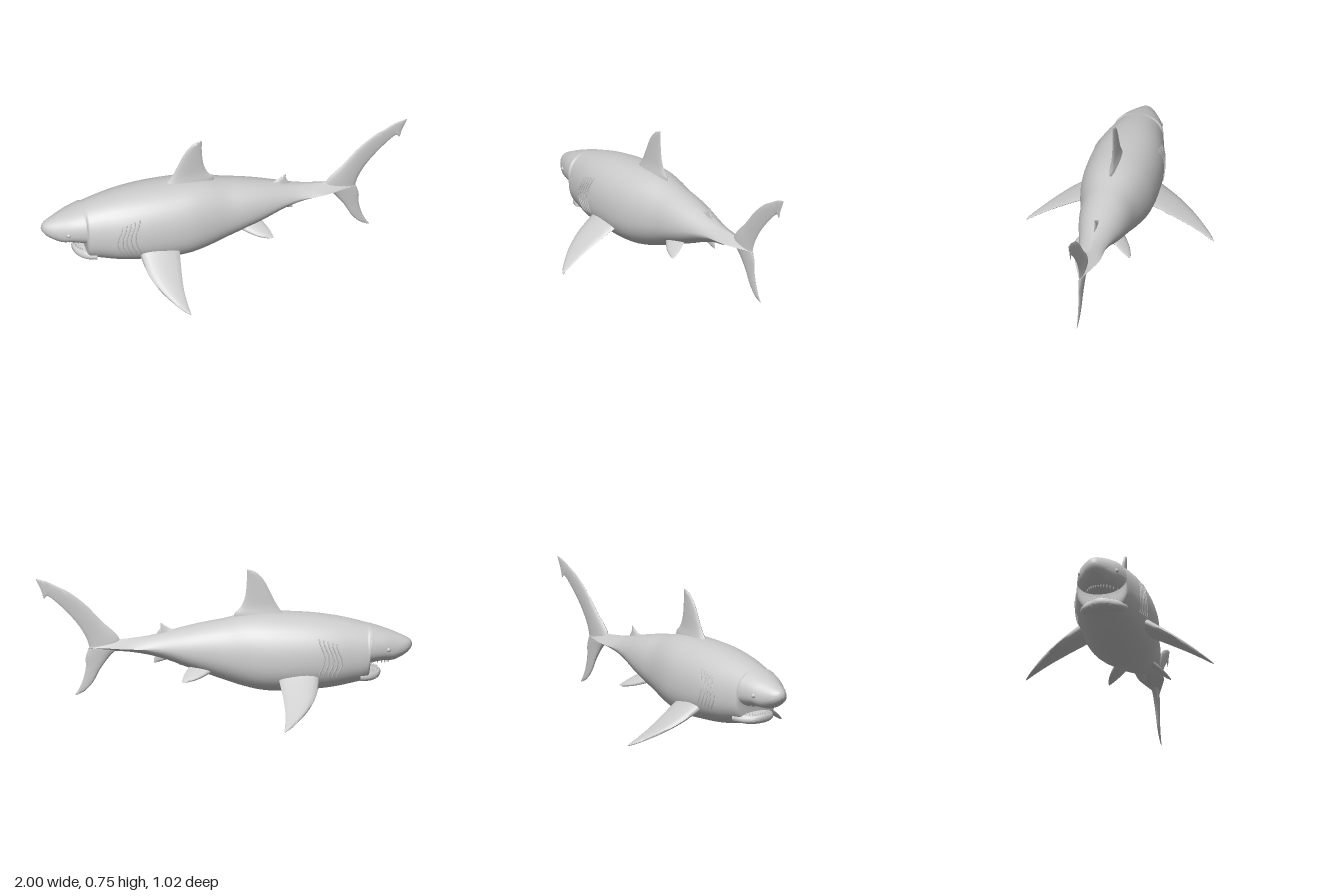
import * as THREE from 'three';
import { toCreasedNormals } from 'three/addons/utils/BufferGeometryUtils.js';

const grey = new THREE.MeshStandardMaterial({ color: 0xcccccc, side: THREE.DoubleSide });

function mesh(name, geometry) {
  const m = new THREE.Mesh(geometry, grey);
  m.name = name;
  return m;
}

// Skin a list of closed rings, all with the same number of points
function loft(rings, crease = 0.8) {
  const n = rings[0].length, index = [];
  for (let i = 0; i < rings.length - 1; i++) {
    for (let j = 0; j < n; j++) {
      const a = i * n + j, b = i * n + (j + 1) % n;
      index.push(a, b, a + n, b, b + n, a + n);
    }
  }
  const g = new THREE.BufferGeometry().setFromPoints(rings.flat());
  g.setIndex(index);
  return toCreasedNormals(g, crease);
}

// Smooth interpolation between rows of numbers
function blend(rows, i, t) {
  const at = k => rows[Math.min(Math.max(k, 0), rows.length - 1)];
  return rows[i].map((b, c) => {
    const a = at(i - 1)[c], d = at(i + 1)[c], e = at(i + 2)[c];
    return b + 0.5 * t * (d - a + t * (2 * a - 5 * b + 4 * d - e + t * (3 * (b - d) + e - a)));
  });
}

function refine(rows, steps) {
  const out = [];
  for (let i = 0; i < rows.length - 1; i++)
    for (let s = 0; s < steps; s++) out.push(blend(rows, i, s / steps));
  return [...out, rows[rows.length - 1]];
}

// Point on a cross-section [x, top, bottom, half width, roundness], angle 0 is the top
function sectionPoint([x, top, bottom, width, power], angle) {
  const c = Math.cos(angle), s = Math.sin(angle), p = 2 / power;
  const mid = bottom + (top - bottom) * 0.43;
  const h = c > 0 ? top - mid : mid - bottom;
  return new THREE.Vector3(x, mid + Math.sign(c) * h * Math.abs(c) ** p,
    Math.sign(s) * Math.max(width, 0) * Math.abs(s) ** p);
}

function hull(rows, steps, sides = 40) {
  return loft(refine(rows, steps).map(r =>
    Array.from({ length: sides }, (_, j) => sectionPoint(r, j / sides * Math.PI * 2))));
}

// Fin from rows [lead x, lead y, trail x, trail y, half thickness]
function fin(rows) {
  const n = 16;
  return loft(refine(rows, 4).map(([lx, ly, tx, ty, h]) =>
    Array.from({ length: n }, (_, j) => {
      const a = j / n * Math.PI * 2, u = (1 - Math.cos(a)) / 2;
      return new THREE.Vector3(lx + (tx - lx) * u, ly + (ty - ly) * u,
        h * Math.sin(a) * (1.25 - 0.6 * u));
    })), 1.2);
}

const bodyRows = [
  [-1.0, 0.335, 0.33, 0, 2], [-0.99, 0.357, 0.308, 0.025, 2], [-0.96, 0.376, 0.28, 0.054, 2],
  [-0.9, 0.402, 0.252, 0.088, 2.1], [-0.85, 0.42, 0.253, 0.11, 2.2], [-0.785, 0.441, 0.243, 0.131, 2.2],
  [-0.775, 0.444, 0.235, 0.134, 2.2], [-0.765, 0.447, 0.16, 0.137, 2.2], [-0.74, 0.454, 0.145, 0.145, 2.2],
  [-0.68, 0.47, 0.132, 0.16, 2.2], [-0.6, 0.487, 0.116, 0.18, 2.2], [-0.5, 0.502, 0.104, 0.195, 2.2],
  [-0.4, 0.511, 0.098, 0.201, 2.2], [-0.3, 0.515, 0.094, 0.201, 2.2], [-0.2, 0.515, 0.1, 0.193, 2.2],
  [-0.1, 0.505, 0.122, 0.173, 2.15], [0, 0.483, 0.155, 0.15, 2.1], [0.1, 0.465, 0.192, 0.136, 2.1],
  [0.2, 0.444, 0.227, 0.118, 2], [0.3, 0.42, 0.265, 0.093, 1.8], [0.4, 0.397, 0.292, 0.073, 1.5],
  [0.5, 0.384, 0.308, 0.07, 1.1], [0.56, 0.378, 0.313, 0.06, 0.95], [0.63, 0.365, 0.318, 0.035, 1],
  [0.72, 0.335, 0.329, 0.002, 1.2],
];

function bodyPoint(x, angle) {
  const i = bodyRows.findIndex((r, k) => x < bodyRows[k + 1][0]);
  const t = (x - bodyRows[i][0]) / (bodyRows[i + 1][0] - bodyRows[i][0]);
  return sectionPoint(blend(bodyRows, i, t), angle);
}

export function createModel() {
  const shark = new THREE.Group();
  shark.name = 'shark';
  shark.add(mesh('body', hull(bodyRows, 3)));

  // Lower jaw, tucked under the open mouth
  shark.add(mesh('lowerJaw', hull([
    [-0.832, 0.188, 0.182, 0, 2], [-0.825, 0.2, 0.165, 0.035, 2.2], [-0.805, 0.203, 0.153, 0.072, 2.3],
    [-0.77, 0.215, 0.147, 0.108, 2.3], [-0.72, 0.22, 0.15, 0.13, 2.3],
  ], 3, 28)));

  // Rows of small teeth around both jaws
  const teeth = new THREE.Group();
  teeth.name = 'teeth';
  const toothShape = new THREE.ConeGeometry(0.007, 0.022, 6);
  for (let k = -6; k <= 6; k++) {
    const t = k / 6;
    const upper = mesh('upperTooth', toothShape);
    upper.position.set(-0.875 + 0.09 * t * t, 0.247 + 0.014 * t * t, 0.085 * t);
    upper.rotation.x = Math.PI;
    const lower = mesh('lowerTooth', toothShape);
    lower.position.set(-0.815 + 0.04 * t * t, 0.205, 0.075 * t);
    teeth.add(upper, lower);
  }
  shark.add(teeth);

  // Upright fins along the middle line
  shark.add(mesh('dorsalFin', fin([
    [-0.34, 0.49, -0.06, 0.48, 0.03], [-0.31, 0.518, -0.055, 0.513, 0.022], [-0.28, 0.56, -0.09, 0.55, 0.015],
    [-0.25, 0.62, -0.113, 0.61, 0.012], [-0.215, 0.69, -0.121, 0.69, 0.009],
    [-0.17, 0.74, -0.121, 0.74, 0.006], [-0.13, 0.755, -0.122, 0.755, 0.002],
  ])));
  shark.add(mesh('secondDorsalFin', fin([
    [0.24, 0.42, 0.35, 0.395, 0.012], [0.285, 0.435, 0.355, 0.412, 0.007],
    [0.315, 0.452, 0.338, 0.44, 0.004], [0.332, 0.465, 0.338, 0.463, 0.001],
  ])));
  shark.add(mesh('analFin', fin([
    [0.26, 0.28, 0.36, 0.3, 0.012], [0.3, 0.265, 0.37, 0.275, 0.007],
    [0.34, 0.253, 0.372, 0.26, 0.004], [0.368, 0.246, 0.374, 0.249, 0.001],
  ])));
  shark.add(mesh('tailFin', fin([
    [0.995, 0.718, 1.0, 0.716, 0.001], [0.95, 0.706, 0.972, 0.655, 0.004], [0.925, 0.695, 0.957, 0.608, 0.004],
    [0.89, 0.677, 0.935, 0.622, 0.005], [0.82, 0.64, 0.865, 0.563, 0.007], [0.735, 0.572, 0.785, 0.475, 0.009],
    [0.65, 0.48, 0.735, 0.395, 0.012], [0.57, 0.405, 0.717, 0.34, 0.017], [0.55, 0.345, 0.722, 0.325, 0.018],
    [0.6, 0.295, 0.735, 0.28, 0.014], [0.655, 0.22, 0.735, 0.22, 0.01], [0.695, 0.145, 0.752, 0.15, 0.007],
    [0.74, 0.095, 0.775, 0.1, 0.004], [0.785, 0.071, 0.793, 0.073, 0.001],
  ])));

  // Paired fins, spread outwards and down
  const pectoral = fin([
    [-0.5, -0.03, -0.28, -0.03, 0.034], [-0.495, 0.04, -0.288, 0.04, 0.026], [-0.475, 0.14, -0.3, 0.14, 0.019],
    [-0.43, 0.24, -0.308, 0.24, 0.013], [-0.37, 0.325, -0.305, 0.325, 0.008],
    [-0.33, 0.37, -0.3, 0.37, 0.005], [-0.3, 0.393, -0.298, 0.393, 0.001],
  ]);
  const pelvic = fin([
    [0.03, 0, 0.19, 0, 0.018], [0.085, 0.05, 0.215, 0.05, 0.013],
    [0.145, 0.09, 0.228, 0.09, 0.008], [0.205, 0.112, 0.231, 0.112, 0.003],
  ]);
  for (const side of [1, -1]) {
    const front = mesh('pectoralFin', pectoral), rear = mesh('pelvicFin', pelvic);
    front.position.set(0, 0.2, 0.17 * side);
    rear.position.set(0, 0.24, 0.07 * side);
    front.rotation.x = rear.rotation.x = side * Math.PI * 2 / 3;
    shark.add(front, rear);

    // Five gill slits following the flank
    for (let k = 0; k < 5; k++) {
      const points = Array.from({ length: 9 }, (_, j) =>
        bodyPoint(-0.605 + 0.023 * k + 0.014 * Math.cos(j / 8 * Math.PI * 2), side * (1.08 - 0.03 * k + j * 0.115)));
      shark.add(mesh('gillSlit', new THREE.TubeGeometry(new THREE.CatmullRomCurve3(points), 20, 0.004, 5)));
    }

    // Eye
    const eye = mesh('eye', new THREE.SphereGeometry(0.012, 16, 10));
    eye.position.copy(bodyPoint(-0.87, side * 1.5)).multiply(new THREE.Vector3(1, 1, 0.97));
    shark.add(eye);
  }
  return shark;
}
